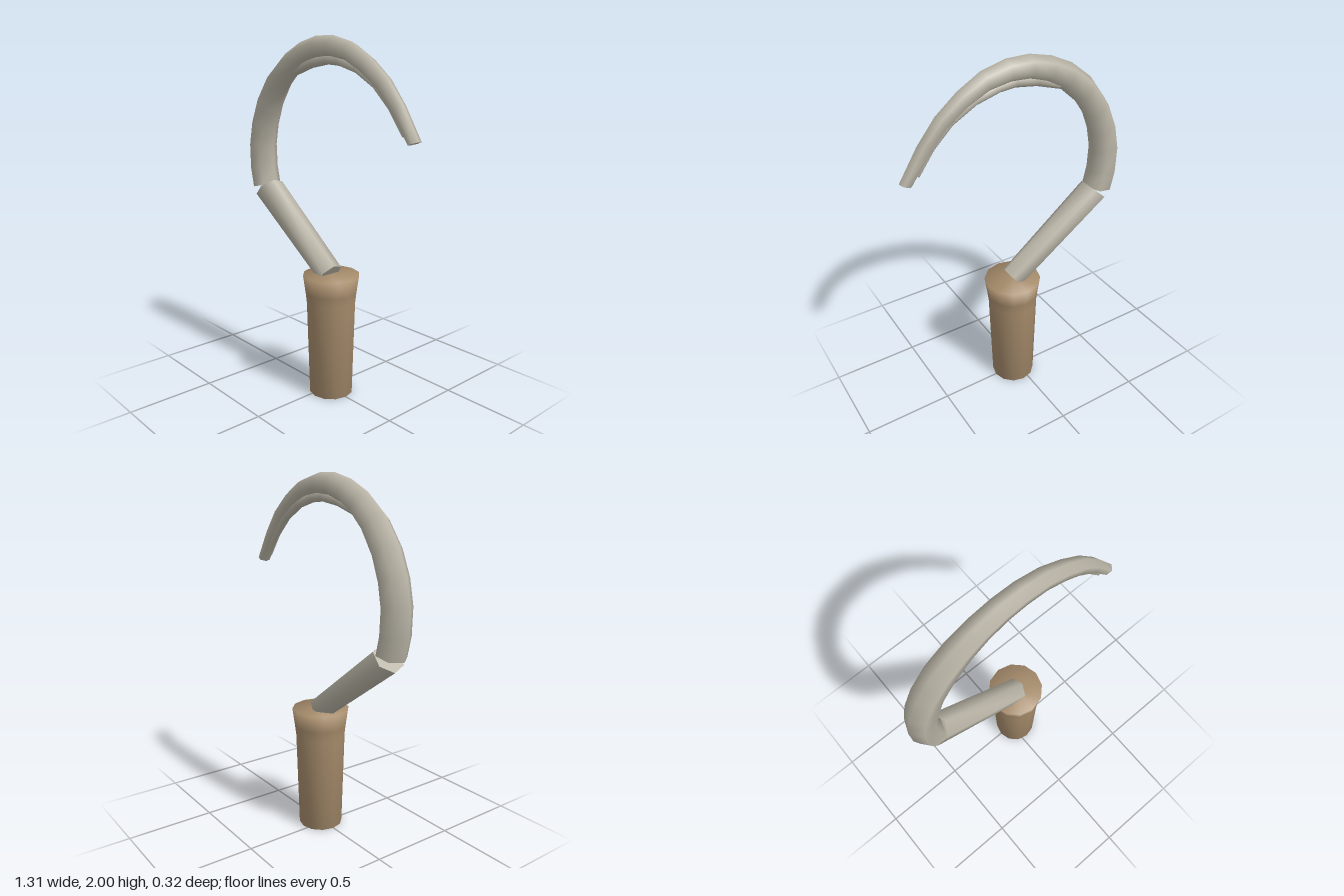
import * as THREE from 'three';

const SIDES = 6;

// Tapered bar swept through rings [x, y, radius] lying in the XY plane.
function sweep(rings, twist, endTangent) {
  const pos = [], index = [];
  const addRing = (i) => {
    const first = pos.length / 3;
    const [x, y, r] = rings[i];
    const a = rings[Math.max(i - 1, 0)], b = rings[Math.min(i + 1, rings.length - 1)];
    const t = new THREE.Vector2(b[0] - a[0], b[1] - a[1]);
    if (endTangent && i === rings.length - 1) t.set(...endTangent);
    t.normalize();
    for (let j = 0; j < SIDES; j++) {
      const ang = twist + (j / SIDES) * Math.PI * 2;
      const c = Math.cos(ang) * r;
      pos.push(x - t.y * c, y + t.x * c, 0.005 + Math.sin(ang) * r);
    }
    return first;
  };

  // side walls, smooth around the bar
  rings.forEach((_, i) => addRing(i));
  for (let i = 0; i < rings.length - 1; i++) {
    for (let j = 0; j < SIDES; j++) {
      const k = (j + 1) % SIDES;
      const a = i * SIDES + j, b = i * SIDES + k;
      index.push(a, b, b + SIDES, a, b + SIDES, a + SIDES);
    }
  }

  // flat end caps on their own vertices
  const start = addRing(0), end = addRing(rings.length - 1);
  for (let j = 1; j < SIDES - 1; j++) {
    index.push(start, start + j + 1, start + j);
    index.push(end, end + j, end + j + 1);
  }

  const geo = new THREE.BufferGeometry();
  geo.setAttribute('position', new THREE.Float32BufferAttribute(pos, 3));
  geo.setIndex(index);
  geo.computeVertexNormals();
  return geo;
}

export function createModel() {
  const steel = new THREE.MeshStandardMaterial({ color: 0xb8b3a5 });
  steel.name = 'dull steel';
  const wood = new THREE.MeshStandardMaterial({ color: 0xa58b6b });
  wood.name = 'worn wood';

  const model = new THREE.Group();
  model.name = 'sickle';
  const add = (name, geo, mat) => {
    const mesh = new THREE.Mesh(geo, mat);
    mesh.name = name;
    model.add(mesh);
    return mesh;
  };

  // flared wooden grip with softly shaded ends
  const profile = [[0, 0], [0.125, 0], [0.14, 0.55], [0.147, 0.61], [0.161, 0.71], [0, 0.71]]
    .map(([r, y]) => new THREE.Vector2(r, y));
  add('handle', new THREE.LatheGeometry(profile, 12), wood).position.x = 0.033;

  // slanted shank joining grip and hook
  const twist = THREE.MathUtils.degToRad(8);
  add('shank', sweep([[0.031, 0.71, 0.072], [-0.524, 1.122, 0.086]], -twist, [-0.677, 0.738]), steel);

  // curved hook, tapering to the tip
  add('hook', sweep([
    [-0.545, 1.138, 0.083], [-0.569, 1.243, 0.083], [-0.574, 1.381, 0.082],
    [-0.548, 1.508, 0.081], [-0.495, 1.635, 0.079], [-0.407, 1.757, 0.076],
    [-0.296, 1.849, 0.071], [-0.185, 1.905, 0.066], [-0.069, 1.937, 0.062],
    [0.048, 1.941, 0.059], [0.175, 1.915, 0.054], [0.296, 1.852, 0.049],
    [0.413, 1.765, 0.044], [0.513, 1.651, 0.039], [0.619, 1.497, 0.034],
  ], twist, [0.33, -0.94]), steel);

  // thin cutting edge along the inside of the hook
  add('cuttingEdge', sweep([
    [-0.28, 1.81, 0.028], [-0.12, 1.862, 0.03], [0.01, 1.881, 0.03], [0.1, 1.873, 0.029],
    [0.235, 1.835, 0.028], [0.37, 1.758, 0.026], [0.475, 1.653, 0.022], [0.56, 1.53, 0.018],
  ], twist), steel);

  return model;
}
